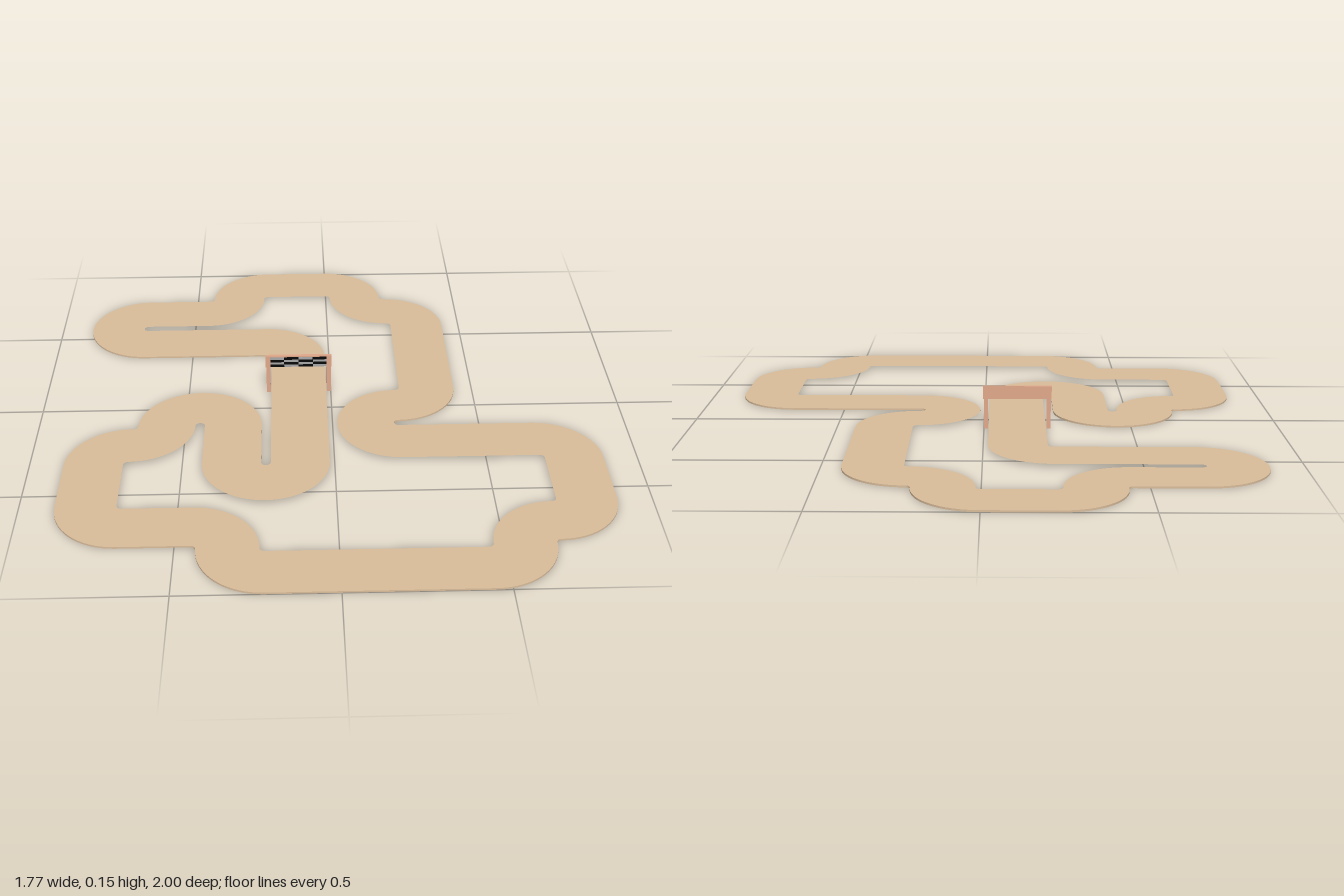
import * as THREE from 'three';

const P = 0.2257;          // tile pitch
const HALF = 0.097;        // half road width
const R = P / 2;           // centreline corner radius
const THICK = 0.006;

// Centreline corners in tile steps (column, row)
const CORNERS = [
  [-1, -2], [-4, -2], [-4, -3], [-2, -3], [-2, -4], [0, -4], [0, -3], [1, -3],
  [1, 0], [0, 0], [0, 1], [3, 1], [3, 3], [2, 3], [2, 4], [-2, 4],
  [-2, 3], [-4, 3], [-4, 1], [-3, 1], [-3, 0], [-2, 0], [-2, 2], [-1, 2],
];

// Closed outline of the road, offset sideways from the rounded centreline
function edgeLoop(offset) {
  const pts = CORNERS.map(([i, j]) => new THREE.Vector2((i + 0.5) * P, -j * P));
  const n = pts.length, out = [];
  pts.forEach((c, k) => {
    const a = c.clone().sub(pts[(k + n - 1) % n]).normalize();
    const b = pts[(k + 1) % n].clone().sub(c).normalize();
    const turn = Math.sign(a.x * b.y - a.y * b.x);
    const centre = c.clone().addScaledVector(a, -R).addScaledVector(b, R);
    const radius = R - turn * offset;
    const start = Math.atan2(-b.y, -b.x);
    for (let s = 0; s <= 16; s++) {
      const t = start + turn * (s / 16) * Math.PI / 2;
      out.push(new THREE.Vector2(centre.x + radius * Math.cos(t), centre.y + radius * Math.sin(t)));
    }
  });
  return out;
}

export function createModel() {
  const model = new THREE.Group();
  const mat = (color) => new THREE.MeshStandardMaterial({ color });
  const wood = mat(0xe0a88a), black = mat(0x080808), grey = mat(0xa8a8a8);

  // Road slab: one edge loop is the outline, the other the hole
  const loops = [edgeLoop(HALF), edgeLoop(-HALF)]
    .sort((p, q) => Math.abs(THREE.ShapeUtils.area(q)) - Math.abs(THREE.ShapeUtils.area(p)));
  const shape = new THREE.Shape(loops[0]);
  shape.holes.push(new THREE.Path(loops[1]));
  const roadGeo = new THREE.ExtrudeGeometry(shape, { depth: THICK, bevelEnabled: false });
  roadGeo.rotateX(-Math.PI / 2);
  const road = new THREE.Mesh(roadGeo, mat(0xdabd9b));
  road.name = 'trackRoad';
  model.add(road);

  // Finish gate across the straight
  const gate = new THREE.Group();
  gate.name = 'finishGate';
  gate.position.set(-P / 2, 0, -0.109);
  model.add(gate);
  const box = (name, w, h, d, x, y, z, material) => {
    const m = new THREE.Mesh(new THREE.BoxGeometry(w, h, d), material);
    m.name = name;
    m.position.set(x, y, z);
    gate.add(m);
  };
  for (const s of [-1, 1]) {
    box('gateLeg', 0.014, 0.108, 0.007, s * 0.106, 0.054, 0, wood);
    box('bannerEnd', 0.017, 0.044, 0.012, s * 0.107, 0.126, 0, wood);
  }
  box('bannerBoard', 0.2, 0.044, 0.009, 0, 0.126, -0.0015, wood);
  box('bannerTopRail', 0.2, 0.004, 0.012, 0, 0.146, 0, wood);

  // Chequered front of the banner
  const cw = 0.05, ch = 0.0095;
  for (let r = 0; r < 4; r++) {
    for (let c = 0; c < 4; c++) {
      box('bannerCheck', cw, ch, 0.002, (c - 1.5) * cw, 0.1088 + r * ch, 0.0036,
        (r + c) % 2 ? grey : black);
    }
  }
  return model;
}
